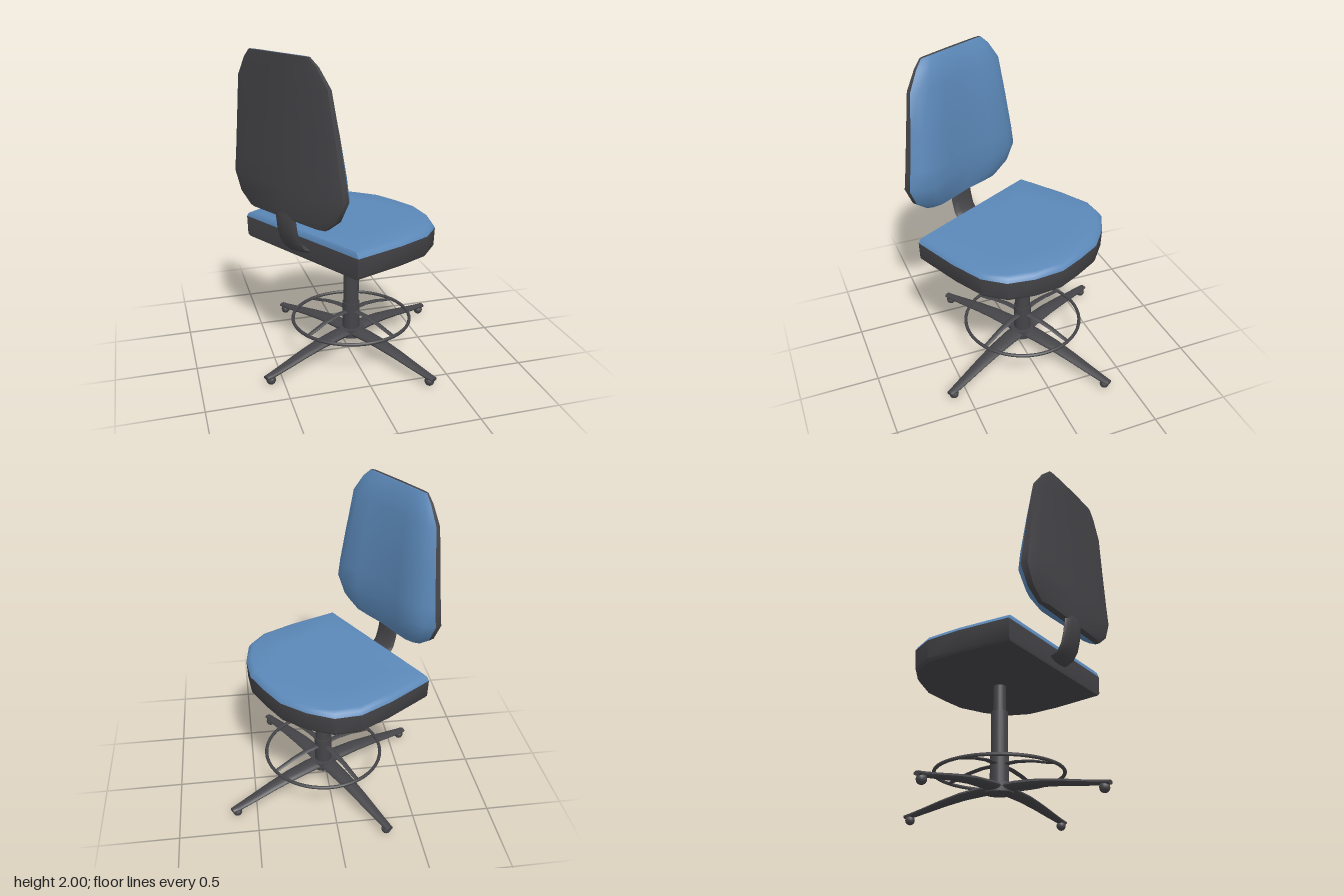
import * as THREE from 'three';
import { toCreasedNormals } from 'three/addons/utils/BufferGeometryUtils.js';

const blue = new THREE.MeshStandardMaterial({ color: 0x5b88b8 });
blue.name = 'blue fabric';
const dark = new THREE.MeshStandardMaterial({ color: 0x454549 });
dark.name = 'dark grey plastic';

const V = (x, y, z) => new THREE.Vector3(x, y, z);

// Skin closed rings (counter-clockwise about the direction of travel), capped at both ends
function loft(rings, crease = 0.7) {
  const pos = [];
  const tri = (...pts) => pts.forEach(p => pos.push(p.x, p.y, p.z));
  const n = rings[0].length;
  for (let r = 0; r < rings.length - 1; r++) {
    const a = rings[r], b = rings[r + 1];
    for (let i = 0; i < n; i++) {
      const j = (i + 1) % n;
      tri(a[i], a[j], b[j]);
      tri(a[i], b[j], b[i]);
    }
  }
  const centre = ring => ring.reduce((s, p) => s.add(p), V(0, 0, 0)).divideScalar(n);
  const first = rings[0], last = rings[rings.length - 1];
  const c0 = centre(first), c1 = centre(last);
  for (let i = 0; i < n; i++) {
    const j = (i + 1) % n;
    tri(c0, first[j], first[i]);
    tri(c1, last[i], last[j]);
  }
  const g = new THREE.BufferGeometry();
  g.setAttribute('position', new THREE.Float32BufferAttribute(pos, 3));
  return toCreasedNormals(g, crease);
}

// Flat bar following stations [z, y, half width, half thickness] in the yz plane
function bar(stations, sides = 12) {
  const rings = stations.map(([z, y, w, t], k) => {
    const p = stations[Math.max(k - 1, 0)], q = stations[Math.min(k + 1, stations.length - 1)];
    const d = Math.hypot(q[0] - p[0], q[1] - p[1]);
    const dz = (q[0] - p[0]) / d, dy = (q[1] - p[1]) / d;
    return Array.from({ length: sides }, (_, i) => {
      const a = (i / sides) * Math.PI * 2, s = Math.sin(a) * t;
      return V(Math.cos(a) * w, y + s * dz, z - s * dy);
    });
  });
  return loft(rings, 0.9);
}

function add(parent, name, geometry, material, x = 0, y = 0, z = 0) {
  const m = new THREE.Mesh(geometry, material);
  m.name = name;
  m.position.set(x, y, z);
  parent.add(m);
  return m;
}

function buildSeat(chair) {
  const half = [[0.508, -0.43], [0.542, -0.106], [0.543, 0.119], [0.478, 0.267], [0.341, 0.367], [0.17, 0.439]];
  const outline = [
    ...half.map(([x, z]) => [-x, z]), [0, 0.445],
    ...half.slice().reverse(), [0, -0.43],
  ];
  const ring = (y, s, back = s) => outline.map(([x, z]) => V(x * s + 0.012, y, z * (z < -0.4 ? back : s)));
  add(chair, 'seatShell', loft([ring(0.768, 0.965, 0.99), ring(0.785, 0.99, 1), ring(0.9, 1)]), dark);
  add(chair, 'seatCushion', loft([ring(0.9, 1), ring(0.923, 0.975, 0.99), ring(0.935, 0.93, 0.97), ring(0.938, 0.6)], 0.9), blue);
}

function buildBackrest(chair) {
  // y, half width, rim z, wing z, middle z, back z
  const rows = [
    [1.05, 0.335, -0.505, -0.465, -0.475, -0.545],
    [1.12, 0.425, -0.495, -0.43, -0.46, -0.553],
    [1.24, 0.482, -0.487, -0.406, -0.45, -0.555],
    [1.36, 0.462, -0.49, -0.408, -0.45, -0.556],
    [1.6, 0.425, -0.502, -0.437, -0.468, -0.558],
    [1.84, 0.385, -0.52, -0.472, -0.492, -0.562],
    [1.95, 0.31, -0.537, -0.508, -0.515, -0.566],
    [2.0, 0.255, -0.55, -0.54, -0.542, -0.568],
  ];
  const shell = rows.map(([y, w, e, f, m, b]) => {
    const k = b + (e - b) * 0.35;
    return [[1, e], [1, k], [0.85, b], [0, b - 0.003], [-0.85, b], [-1, k], [-1, e]].map(([u, z]) => V(u * w, y, z));
  });
  const pad = rows.map(([y, w, e, f, m]) =>
    [[1, e], [-1, e], [-0.9, e * 0.4 + f * 0.6], [-0.72, f], [-0.42, f * 0.8 + m * 0.2], [0, m],
      [0.42, f * 0.8 + m * 0.2], [0.72, f], [0.9, e * 0.4 + f * 0.6]].map(([u, z]) => V(u * w, y, z)));
  add(chair, 'backrestShell', loft(shell), dark);
  add(chair, 'backrestCushion', loft(pad, 0.8), blue);

  // Curved bar joining seat and backrest
  add(chair, 'backrestPost', bar([
    [-0.38, 0.825, 0.09, 0.02], [-0.43, 0.83, 0.09, 0.022], [-0.475, 0.85, 0.09, 0.023],
    [-0.507, 0.9, 0.09, 0.023], [-0.525, 0.97, 0.09, 0.023], [-0.535, 1.05, 0.088, 0.023], [-0.528, 1.12, 0.085, 0.02],
  ]), dark);
}

function buildBase(chair) {
  const tube = (r, y0, y1) => new THREE.CylinderGeometry(r, r, y1 - y0, 20).translate(0, (y0 + y1) / 2, 0);
  add(chair, 'gasLiftRod', tube(0.039, 0.55, 0.775), dark);
  add(chair, 'column', tube(0.051, 0.1, 0.6), dark);
  add(chair, 'columnCollar', tube(0.057, 0.15, 0.33), dark);
  add(chair, 'hub', tube(0.085, 0.096, 0.152), dark);

  // Foot ring
  const ring = new THREE.TorusGeometry(0.385, 0.011, 8, 48).rotateX(Math.PI / 2);
  add(chair, 'footRing', ring, dark, 0, 0.218, 0);

  // Four legs, each with a caster and a foot ring spoke above
  const leg = bar([
    [0, 0.125, 0.058, 0.026], [0.12, 0.128, 0.056, 0.025], [0.27, 0.12, 0.051, 0.022],
    [0.42, 0.1, 0.043, 0.019], [0.56, 0.076, 0.035, 0.016], [0.68, 0.057, 0.027, 0.015], [0.722, 0.054, 0.023, 0.013],
  ]);
  const spoke = bar([
    [0.03, 0.27, 0.022, 0.009], [0.13, 0.269, 0.02, 0.008], [0.24, 0.252, 0.018, 0.008],
    [0.33, 0.228, 0.016, 0.008], [0.385, 0.216, 0.014, 0.007],
  ], 8);
  const ball = new THREE.SphereGeometry(0.03, 14, 10);
  const stem = new THREE.CylinderGeometry(0.014, 0.018, 0.03, 10);
  for (let i = 0; i < 4; i++) {
    const arm = new THREE.Group();
    arm.name = 'baseArm' + (i + 1);
    arm.rotation.y = (i * Math.PI) / 2;
    add(arm, 'leg', leg, dark);
    add(arm, 'footRingSpoke', spoke, dark);
    add(arm, 'casterStem', stem, dark, 0, 0.05, 0.685);
    add(arm, 'caster', ball, dark, 0, 0.03, 0.685);
    chair.add(arm);
  }
}

export function createModel() {
  const model = new THREE.Group();
  model.name = 'swivelChair';
  // The chair is built facing +z, then swivelled
  const chair = new THREE.Group();
  chair.name = 'chair';
  chair.rotation.y = 2.063;
  chair.position.set(0.025, 0, -0.015);
  buildSeat(chair);
  buildBackrest(chair);
  buildBase(chair);
  model.add(chair);
  return model;
}
